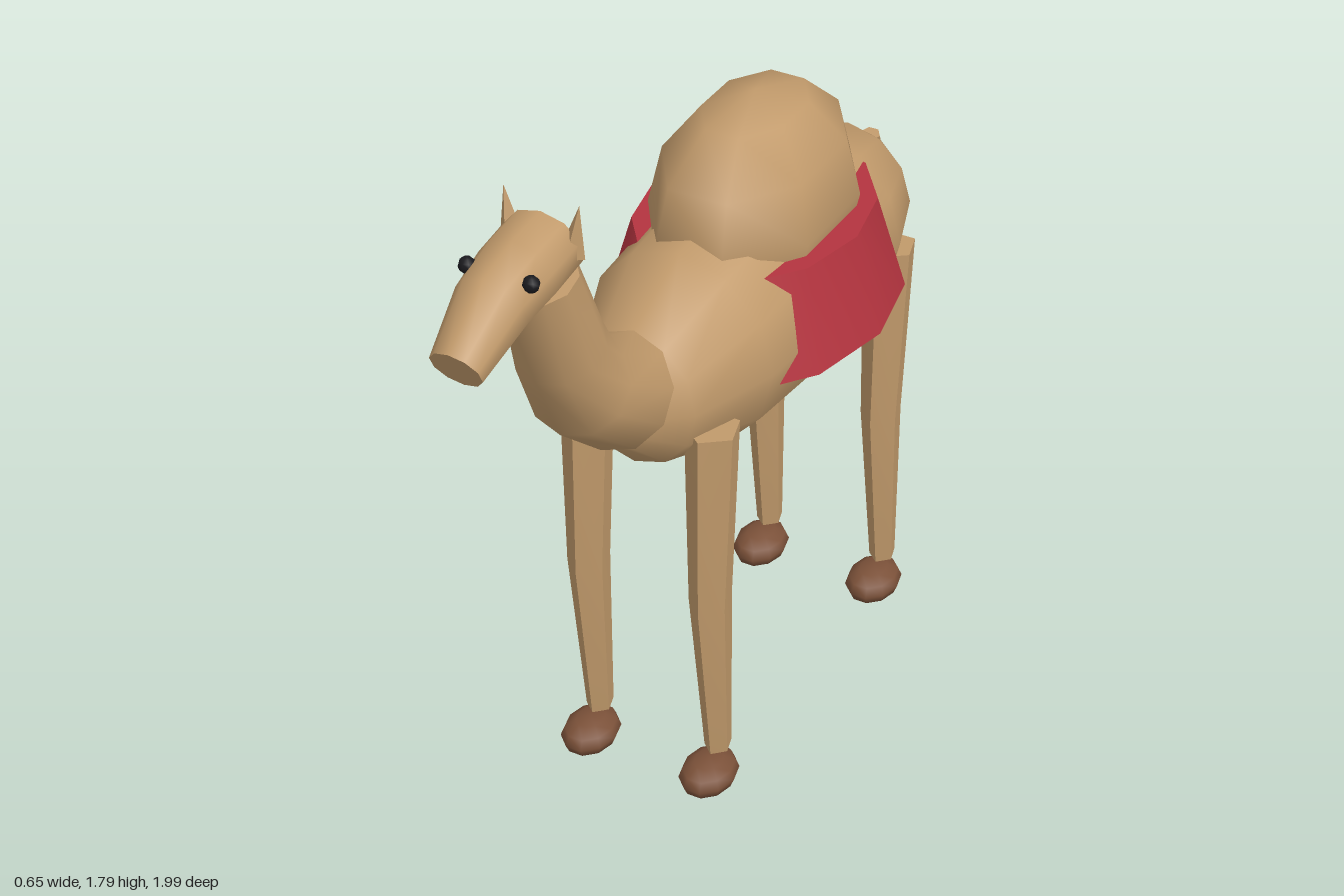
import * as THREE from 'three';
import { toCreasedNormals } from 'three/addons/utils/BufferGeometryUtils.js';

const material = (name, color) => Object.assign(new THREE.MeshStandardMaterial({ color }), { name });

// Lofts elliptical rings along a path in the yz plane.
// Each section is [z, y, half width in x, half height across the path].
function loft(sections, sides, crease, startAngle = 0) {
  const pos = [], index = [], n = sections.length;
  sections.forEach(([z, y, rx, rn], i) => {
    const a = sections[Math.max(i - 1, 0)], b = sections[Math.min(i + 1, n - 1)];
    const len = Math.hypot(b[0] - a[0], b[1] - a[1]);
    const tz = (b[0] - a[0]) / len, ty = (b[1] - a[1]) / len;
    for (let s = 0; s < sides; s++) {
      const t = startAngle + (s / sides) * Math.PI * 2, h = rn * Math.sin(t);
      pos.push(rx * Math.cos(t), y + tz * h, z - ty * h);
    }
  });
  const first = n * sides, last = first + 1, top = (n - 1) * sides;
  for (const [z, y] of [sections[0], sections[n - 1]]) pos.push(0, y, z);
  for (let s = 0; s < sides; s++) {
    const e = (s + 1) % sides;
    for (let i = 0; i < n - 1; i++) {
      const a = i * sides + s, b = i * sides + e;
      index.push(a, b, a + sides, b, b + sides, a + sides);
    }
    index.push(first, e, s, last, top + s, top + e);
  }
  const g = new THREE.BufferGeometry();
  g.setAttribute('position', new THREE.Float32BufferAttribute(pos, 3));
  g.setIndex(index);
  return toCreasedNormals(g, crease);
}

export function createModel() {
  const model = new THREE.Group();
  model.name = 'camel';
  const coat = material('tan coat', 0xc19a6b);
  const cloth = material('red cloth', 0xb4343f);
  const hoof = material('brown hoof', 0x7b5139);
  const dark = material('black eye', 0x1a1a1e);

  const add = (name, geometry, mat, x = 0, y = 0, z = 0) => {
    const mesh = new THREE.Mesh(geometry, mat);
    mesh.name = name;
    mesh.position.set(x, y, z);
    model.add(mesh);
    return mesh;
  };

  // Barrel body, from rump to chest
  add('body', loft([
    [-0.89, 1.105, 0.05, 0.065], [-0.765, 1.095, 0.165, 0.175], [-0.59, 1.085, 0.225, 0.237],
    [-0.26, 1.1, 0.25, 0.28], [0.06, 1.1, 0.235, 0.25], [0.27, 1.09, 0.155, 0.17], [0.37, 1.1, 0.06, 0.07],
  ], 12, 1.0), coat);

  // Hump
  const hump = new THREE.SphereGeometry(1, 8, 6);
  hump.rotateY(Math.PI / 8);
  hump.scale(0.221, 0.28, 0.336);
  add('hump', hump, coat, 0, 1.31, -0.285);

  // Neck and head
  add('neck', loft([
    [0.34, 1.15, 0.135, 0.135], [0.5, 1.255, 0.12, 0.112], [0.575, 1.4, 0.105, 0.104], [0.655, 1.62, 0.09, 0.085],
  ], 10, 1.0, Math.PI / 2), coat);
  add('head', loft([
    [0.625, 1.685, 0.093, 0.078], [0.73, 1.668, 0.092, 0.084], [0.83, 1.645, 0.083, 0.082], [0.97, 1.57, 0.06, 0.058],
  ], 10, 1.0, Math.PI / 2), coat);

  // Saddle cloth, a flared oval band around the flanks
  const saddle = new THREE.LatheGeometry([
    [0, 1.02], [0.255, 1.02], [0.325, 1.04], [0.26, 1.28], [0, 1.28],
  ].map(([r, y]) => new THREE.Vector2(r, y)), 12);
  saddle.scale(1, 1, 1.33);
  add('saddleCloth', toCreasedNormals(saddle, 0.7), cloth, 0, 0, -0.29);

  // Tail
  add('tail', loft([
    [-0.88, 1.175, 0.025, 0.02], [-0.925, 1.07, 0.023, 0.019], [-0.96, 0.95, 0.02, 0.018], [-0.982, 0.79, 0.017, 0.017],
  ], 6, 0.6), coat);

  for (const [side, sx] of [['left', 1], ['right', -1]]) {
    // Legs and feet: path z at top, knee and ankle, then foot z
    for (const [end, top, knee, ankle, foot] of [
      ['Front', 0.2, 0.208, 0.168, 0.213], ['Hind', -0.675, -0.657, -0.692, -0.645],
    ]) {
      add(`${side}${end}Leg`, loft([
        [top, 1.02, 0.064, 0.07], [knee, 0.55, 0.049, 0.06], [ankle, 0.1, 0.032, 0.038],
      ], 5, 0.3, Math.PI / 2), coat, sx * 0.16);
      const shape = new THREE.SphereGeometry(1, 10, 6);
      shape.scale(0.066, 0.045, 0.088);
      add(`${side}${end}Foot`, shape, hoof, sx * 0.16, 0.05, foot);
    }

    // Ears and eyes
    const ear = new THREE.ConeGeometry(0.03, 0.12, 4);
    ear.rotateZ(-sx * 0.15);
    add(`${side}Ear`, toCreasedNormals(ear, 0.5), coat, sx * 0.08, 1.737, 0.632);
    add(`${side}Eye`, new THREE.SphereGeometry(0.019, 8, 6), dark, sx * 0.075, 1.7, 0.8);
  }
  return model;
}
